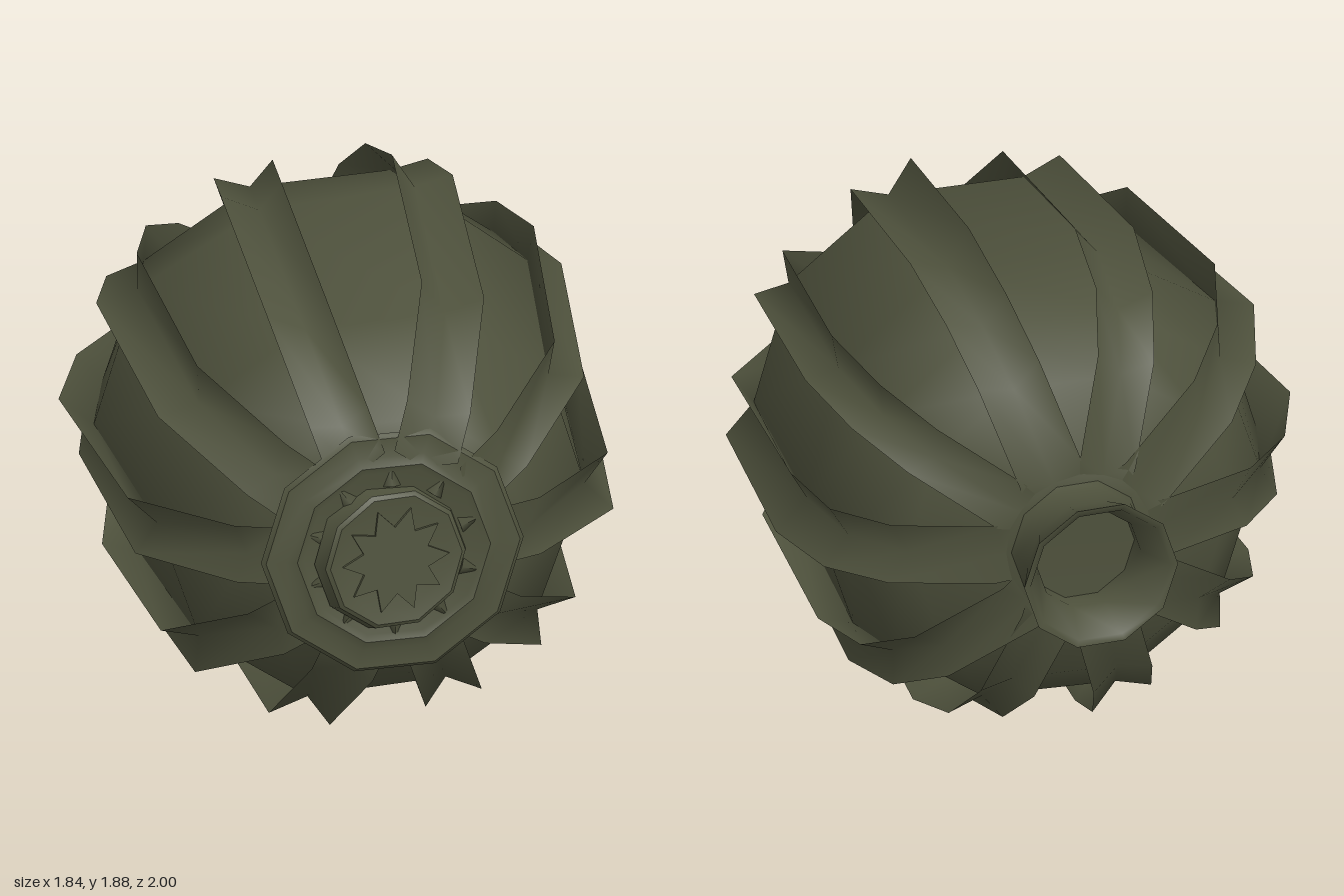
import * as THREE from 'three';
import { toCreasedNormals } from 'three/addons/utils/BufferGeometryUtils.js';

// The long axis runs along z through this point
const CX = 0.035, CY = 0.947;
const CREST = 0.935; // usual radius of a rib lip at the widest station

// Stations from back to front: [z, body radius, lip radius, lip irregularity]
const STATIONS = [
  [-0.735, 0.15, 0.17, 0], [-0.75, 0.26, 0.3, 0], [-0.63, 0.59, 0.65, 0.2],
  [-0.45, 0.755, 0.83, 0.4], [-0.16, 0.848, CREST, 1], [0.55, 0.755, 0.845, 0.4],
  [0.81, 0.49, 0.53, 0.1], [0.86, 0.32, 0.36, 0],
];

// Lip tips of the ten irregular ribs at the widest station: [x, y, x, y], counter-clockwise
const TIPS = [
  [0.92, 0.84, 0.87, 1.06], [0.815, 1.405, 0.72, 1.56], [0.44, 1.79, 0.23, 1.89],
  [-0.15, 1.82, -0.36, 1.79], [-0.65, 1.6, -0.79, 1.42], [-0.92, 1.06, -0.85, 0.84],
  [-0.77, 0.48, -0.66, 0.3], [-0.36, 0.075, -0.15, 0.005], [0.23, 0.08, 0.43, 0.11],
  [0.66, 0.3, 0.77, 0.48],
];

// Lip and gutter lines of each rib, as points along the stations
const RIBS = TIPS.map(([x1, y1, x2, y2], i) => {
  const angle = i * Math.PI / 5, origin = new THREE.Vector2();
  const toRib = (x, y) => new THREE.Vector2(x - CX, y - CY).rotateAround(origin, -angle);
  const low = toRib(x1, y1), high = toRib(x2, y2);
  const line = (tip, column) => STATIONS.map(station => {
    const u = station[column] + station[3] * (tip.x - CREST);
    const p = new THREE.Vector2(u, tip.y).rotateAround(origin, angle);
    return [p.x, p.y, station[0]];
  });
  const middle = low.clone().add(high).multiplyScalar(0.5);
  return { low: line(low, 2), gutter: line(middle, 1), high: line(high, 2) };
});

// Skin over lengthwise lines given counter-clockwise
function skin(lines, closed) {
  const pos = [], index = [], rows = lines[0].length;
  lines.forEach((line, j) => {
    line.forEach((p, i) => {
      pos.push(...p);
      if (i && (closed || j < lines.length - 1)) {
        const next = (j + 1) % lines.length;
        const c = j * rows + i, a = c - 1, d = next * rows + i, b = d - 1;
        index.push(a, b, c, b, d, c);
      }
    });
  });
  const g = new THREE.BufferGeometry();
  g.setAttribute('position', new THREE.Float32BufferAttribute(pos, 3));
  g.setIndex(index);
  g.computeVertexNormals();
  return g;
}

// Lathe turned around the z axis; points are [radius, z] from back to front
function latheZ(points) {
  const pts = points.map(([r, z]) => new THREE.Vector2(r, z));
  return new THREE.LatheGeometry(pts, 10, Math.PI / 2).rotateX(Math.PI / 2);
}

export function createModel() {
  const model = new THREE.Group();
  const olive = new THREE.MeshStandardMaterial({ color: 0x4e513c, side: THREE.DoubleSide });
  olive.name = 'dark olive';

  const add = (parent, name, geometry, x = 0, y = 0, z = 0) => {
    const mesh = new THREE.Mesh(geometry, olive);
    mesh.name = name;
    mesh.position.set(x, y, z);
    parent.add(mesh);
    return mesh;
  };
  const addGroup = (name, z = 0) => {
    const group = new THREE.Group();
    group.name = name;
    group.position.set(CX, CY, z);
    model.add(group);
    return group;
  };

  // Ten-sided body whose corners run along the rib gutters
  add(model, 'body', skin(RIBS.map(rib => rib.gutter), true), CX, CY);

  // Ten open, gutter-shaped ribs with raised lips
  const ribs = addGroup('ribs');
  for (const { low, gutter, high } of RIBS) add(ribs, 'rib', skin([low, gutter, high], false));

  // Hollow flared stem at the back
  const stem = latheZ([
    [0, -0.785], [0.19, -0.79], [0.185, -0.87], [0.25, -0.995], [0.275, -1],
    [0.215, -0.86], [0.225, -0.77], [0.25, -0.72],
  ]);
  add(model, 'stem', toCreasedNormals(stem, 1), CX + 0.005, CY);

  // Layered rings of the blossom scar at the front
  const rings = addGroup('scarRings', 0.88);
  rings.rotation.set(-0.11, 0.02, 0);
  const ringProfile = latheZ([
    [0.34, -0.06], [0.42, -0.03], [0.455, -0.005], [0.44, 0.01], [0.37, 0.01],
    [0.335, 0.025], [0.31, 0.015], [0, 0.015],
  ]);
  add(rings, 'ringPlate', toCreasedNormals(ringProfile, 0.6));

  // Small pointed teeth on the rings
  for (let i = 0; i < 10; i++) {
    const a = (i + 0.5) * Math.PI / 5;
    const tooth = new THREE.ConeGeometry(0.03, 0.07, 4).scale(1, 1, 0.4);
    add(rings, 'tooth', tooth, 0.28 * Math.cos(a), 0.28 * Math.sin(a), 0.015).rotation.z = a - Math.PI / 2;
  }

  // Raised centre disc, tilted more than the rings
  const disc = addGroup('scarDisc', 0.95);
  disc.rotation.set(-0.16, 0.13, 0);
  const discProfile = latheZ([[0.27, -0.07], [0.25, -0.01], [0.235, 0], [0.18, -0.01], [0, -0.015]]);
  add(disc, 'discPlate', toCreasedNormals(discProfile, 0.6));

  // Shallow star in the middle of the disc
  const star = new THREE.Shape();
  for (let i = 0; i < 20; i++) {
    const a = i * Math.PI / 10, r = i % 2 ? 0.12 : 0.19;
    star[i ? 'lineTo' : 'moveTo'](r * Math.cos(a), r * Math.sin(a));
  }
  star.closePath();
  add(disc, 'discStar', new THREE.ExtrudeGeometry(star, { depth: 0.015, bevelEnabled: false }), 0, 0, -0.015);

  return model;
}
